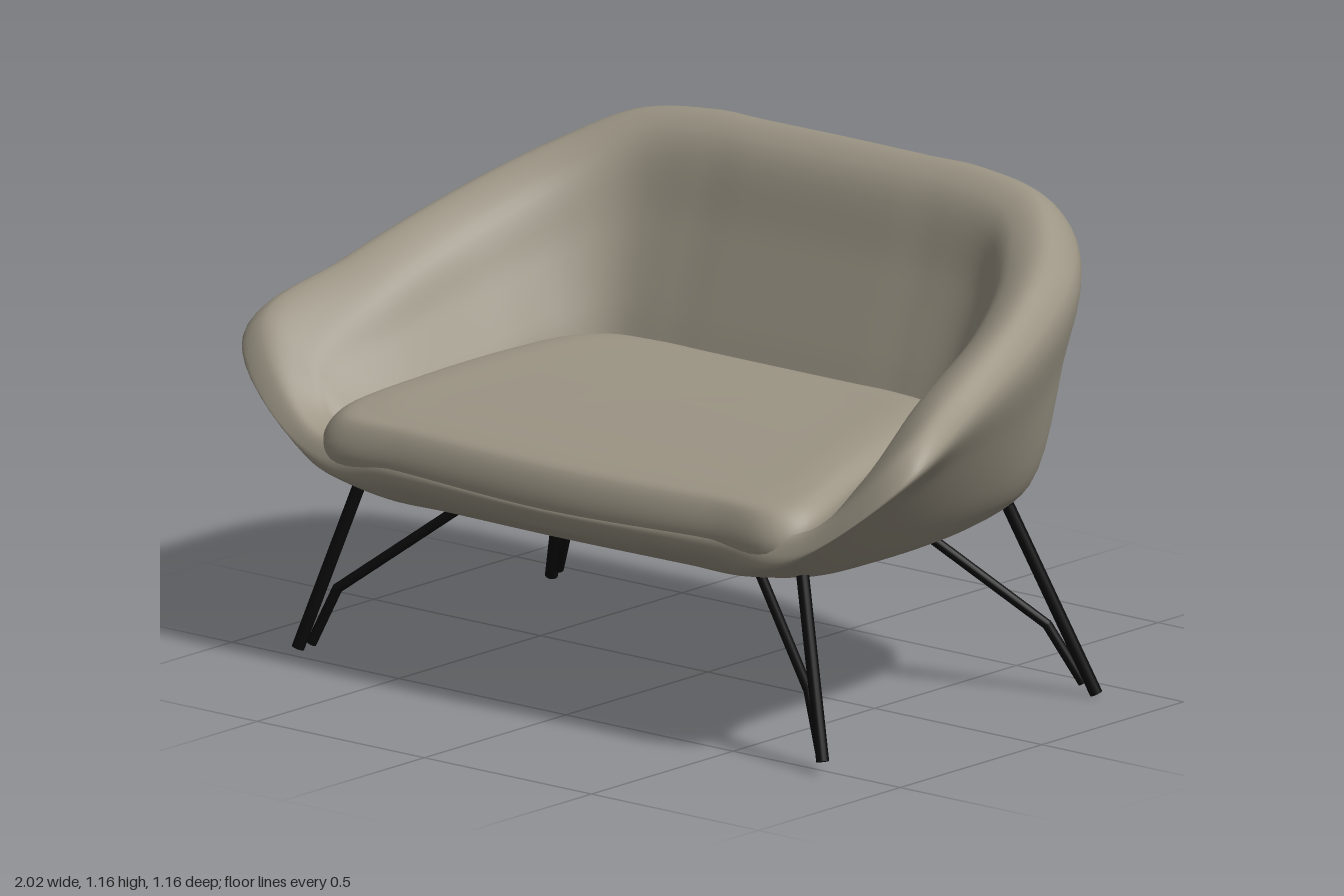
import * as THREE from 'three';

const V = (x, y, z) => new THREE.Vector3(x, y, z);

// Point-by-point blend of two outlines.
const mix = (a, b, t) => a.map((p, i) => p.map((v, k) => v + (b[i][k] - v) * t));

// Closed loop through half-outline stations (back centre -> side -> front centre), mirrored in x.
// Extra points keep the long back and front runs straight.
function ring(half, count) {
  const n = half.length - 1;
  const between = (a, b, t) => V(...a).lerp(V(...b), t);
  const pts = half.map(p => V(...p));
  pts.splice(n, 0, between(half[n - 1], half[n], .3));
  pts.splice(1, 0, between(half[0], half[1], .6));
  for (let i = pts.length - 2; i > 0; i--) pts.push(V(-pts[i].x, pts[i].y, pts[i].z));
  const curve = new THREE.CatmullRomCurve3(pts, true, 'centripetal');
  return Array.from({ length: count }, (_, i) => curve.getPoint(i / count));
}

// Shrinks an outline towards the seat centre, with its height set by a rule in z.
const inset = (half, s, height) => half.map(([px, , pz]) => {
  const z = .12 + (pz - .12) * s;
  return [px * s, height(z), z];
});

// Smooth skin through a stack of loops, from the underside outwards, up and back in.
function skin(layers, count, steps) {
  const rings = layers.map(l => ring(l, count));
  const rows = (layers.length - 1) * steps;
  const pos = [], index = [];
  const columns = Array.from({ length: count }, (_, j) =>
    new THREE.CatmullRomCurve3(rings.map(r => r[j]), false, 'centripetal'));
  for (let i = 0; i <= rows; i++)
    for (let j = 0; j < count; j++) pos.push(...columns[j].getPoint(i / rows).toArray());
  for (let i = 0; i < rows; i++)
    for (let j = 0; j < count; j++) {
      const k = (j + 1) % count;
      const a = i * count + j, b = i * count + k, c = a + count, d = b + count;
      index.push(a, c, b, b, c, d);
    }
  const g = new THREE.BufferGeometry();
  g.setAttribute('position', new THREE.Float32BufferAttribute(pos, 3));
  g.setIndex(index);
  g.computeVertexNormals();
  return g;
}

function rod(from, to, radius, material, name) {
  const dir = to.clone().sub(from);
  const mesh = new THREE.Mesh(new THREE.CylinderGeometry(radius, radius, dir.length(), 16), material);
  mesh.position.copy(from).addScaledVector(dir, 0.5);
  mesh.quaternion.setFromUnitVectors(V(0, 1, 0), dir.normalize());
  mesh.name = name;
  return mesh;
}

export function createModel() {
  const model = new THREE.Group();
  model.name = 'sofa';
  const fabric = new THREE.MeshStandardMaterial({ color: 0x9c9585 });
  fabric.name = 'taupe fabric';
  const metal = new THREE.MeshStandardMaterial({ color: 0x0a0a0a });
  metal.name = 'black metal';

  // Shell outlines: back centre, back, corner start, corner end, side, side, arm tip, front corner, front centre
  const base = [[0, .422, -.36], [.36, .422, -.36], [.52, .425, -.345], [.61, .43, -.27], [.65, .422, -.1],
    [.67, .422, .2], [.66, .43, .42], [.52, .422, .49], [0, .422, .5]];
  const low = [[0, .5, -.43], [.4, .5, -.43], [.59, .5, -.415], [.69, .5, -.32], [.74, .5, -.12],
    [.76, .5, .2], [.76, .5, .46], [.65, .465, .545], [0, .45, .55]];
  const wall = [[0, .8, -.525], [.4, .8, -.525], [.61, .8, -.495], [.75, .79, -.37], [.84, .71, -.12],
    [.89, .67, .2], [.9, .635, .48], [.71, .495, .56], [0, .48, .572]];
  const brow = [[0, 1.07, -.575], [.4, 1.07, -.575], [.63, 1.06, -.53], [.79, 1.005, -.375], [.895, .91, -.12],
    [.963, .81, .2], [.998, .72, .465], [.735, .525, .555], [0, .505, .577]];
  const crown = [[0, 1.17, -.495], [.4, 1.168, -.495], [.6, 1.143, -.455], [.735, 1.07, -.32], [.84, .98, -.1],
    [.91, .87, .2], [.95, .77, .44], [.74, .565, .53], [0, .52, .555]];
  const inner = [[0, 1.125, -.42], [.36, 1.125, -.42], [.55, 1.1, -.385], [.66, 1.02, -.27], [.745, .93, -.08],
    [.8, .82, .2], [.835, .7, .42], [.715, .56, .48], [0, .5, .51]];
  const foot = [[0, .58, -.225], [.36, .58, -.225], [.48, .58, -.21], [.545, .57, -.14], [.58, .55, 0],
    [.64, .53, .22], [.68, .53, .4], [.65, .5, .43], [0, .46, .47]];
  const floor = () => .422, hidden = () => .48;
  const shell = new THREE.Mesh(skin([inset(base, 0, floor), inset(base, .6, floor),
    inset(base, .9, floor), base, low, wall, brow, crown, inner, mix(inner, foot, .35),
    mix(inner, foot, .7), foot, inset(foot, .8, hidden), inset(foot, 0, hidden)], 180, 6), fabric);
  shell.name = 'shell';
  model.add(shell);

  // Seat cushion, sloping down to a rounded front
  const edge = [[0, .675, -.248], [.36, .675, -.248], [.49, .668, -.23], [.56, .655, -.16], [.61, .647, 0],
    [.67, .615, .25], [.718, .565, .49], [.67, .53, .558], [0, .517, .577]];
  const under = edge.map(([x, y, z]) => [x * .97, y - .07, z > .5 ? z - .03 : z]);
  const slope = z => .694 - .08 * (Math.max(0, z + .25) / .78) ** 2;
  const cushion = new THREE.Mesh(skin([inset(under, 0, () => .5), under, edge,
    inset(edge, .95, z => slope(z) - .012), inset(edge, .86, slope), inset(edge, .65, slope),
    inset(edge, .35, slope), inset(edge, 0, slope)], 150, 6), fabric);
  cushion.name = 'seatCushion';
  model.add(cushion);

  // Splayed legs, each with a bent brace that runs alongside it to the floor
  const legs = [
    { name: 'front', top: [.655, .455, .44], foot: [.785, .035, .52],
      brace: [[.39, .435, .315], [.705, .18, .475], [.762, .045, .5]] },
    { name: 'back', top: [.655, .455, -.287], foot: [.815, .013, -.41],
      brace: [[.39, .435, -.17], [.715, .17, -.355], [.785, .035, -.4]] },
  ];
  for (const side of [1, -1])
    for (const leg of legs) {
      const at = ([x, y, z]) => V(x * side, y, z);
      const group = new THREE.Group();
      group.name = leg.name + (side > 0 ? 'LeftLeg' : 'RightLeg');
      const [a, b, c] = leg.brace.map(at);
      group.add(rod(at(leg.top), at(leg.foot), .015, metal, 'leg'),
        rod(a, b, .012, metal, 'brace'), rod(b, c, .012, metal, 'braceFoot'));
      const elbow = new THREE.Mesh(new THREE.SphereGeometry(.012, 12, 8), metal);
      elbow.position.copy(b);
      elbow.name = 'braceBend';
      group.add(elbow);
      model.add(group);
    }
  return model;
}
